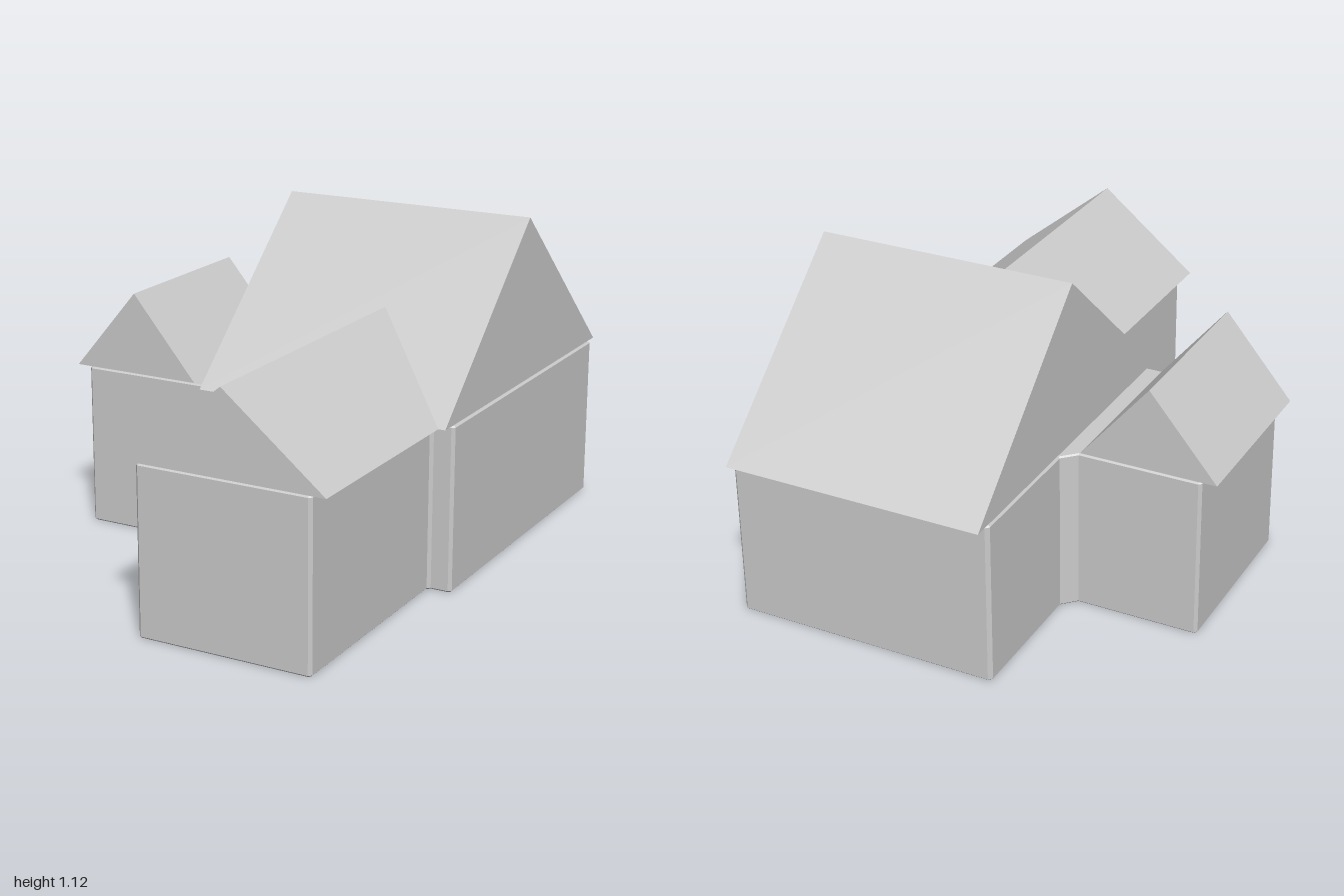
import * as THREE from 'three';

const WALL_TOP = 0.56;
const material = new THREE.MeshStandardMaterial({ color: 0xcccccc });

// Footprint corners [x, z, cut]: every vertical corner is trimmed by its cut
const footprint = [
  [0.035, 0.995, 0.01], [0.635, 0.995, 0.01], [0.635, 0.21, 0.01], [0.715, 0.21, 0.01],
  [0.715, -0.952, 0.012], [-0.203, -0.952, 0.012], [-0.203, -0.432, 0.045],
  [-0.67, -0.432, 0.01], [-0.67, 0.208, 0.01], [0.035, 0.208, 0.026],
];

function trimmedOutline(corners) {
  const points = [];
  corners.forEach(([x, z, cut], i) => {
    const corner = new THREE.Vector2(x, -z);
    const n = corners.length;
    for (const j of [(i + n - 1) % n, (i + 1) % n]) {
      const toward = new THREE.Vector2(corners[j][0], -corners[j][1]).sub(corner).setLength(cut);
      points.push(corner.clone().add(toward));
    }
  });
  return new THREE.Shape(points);
}

function makeWalls() {
  const bevel = 0.005;
  const geometry = new THREE.ExtrudeGeometry(trimmedOutline(footprint), {
    depth: WALL_TOP - 2 * bevel,
    bevelEnabled: true, bevelSegments: 1,
    bevelSize: bevel, bevelThickness: bevel, bevelOffset: -bevel,
  });
  geometry.rotateX(-Math.PI / 2);
  geometry.translate(0, bevel, 0);
  const walls = new THREE.Mesh(geometry, material);
  walls.name = 'walls';
  return walls;
}

// Solid gable roof with its ridge along z, centred on the origin
function makeRoof(name, width, rise, length) {
  const gable = new THREE.Shape([
    new THREE.Vector2(-width / 2, 0),
    new THREE.Vector2(width / 2, 0),
    new THREE.Vector2(0, rise),
  ]);
  const geometry = new THREE.ExtrudeGeometry(gable, { depth: length, bevelEnabled: false });
  geometry.translate(0, 0, -length / 2);
  const roof = new THREE.Mesh(geometry, material);
  roof.name = name;
  return roof;
}

export function createModel() {
  const house = new THREE.Group();
  house.name = 'house';
  house.add(makeWalls());

  // Main roof, ridge running across the house
  const mainRoof = makeRoof('mainRoof', 1.255, 0.56, 0.9);
  mainRoof.rotation.y = Math.PI / 2;
  mainRoof.position.set(0.255, WALL_TOP, -0.3725);

  // Front wing roof, running back into the main roof
  const frontRoof = makeRoof('frontWingRoof', 0.695, 0.28, 1.1);
  frontRoof.position.set(0.333, WALL_TOP, 0.44);

  // Side wing roof
  const sideRoof = makeRoof('sideWingRoof', 0.47, 0.28, 0.625);
  sideRoof.position.set(-0.485, WALL_TOP, -0.1125);

  house.add(mainRoof, frontRoof, sideRoof);
  return house;
}
